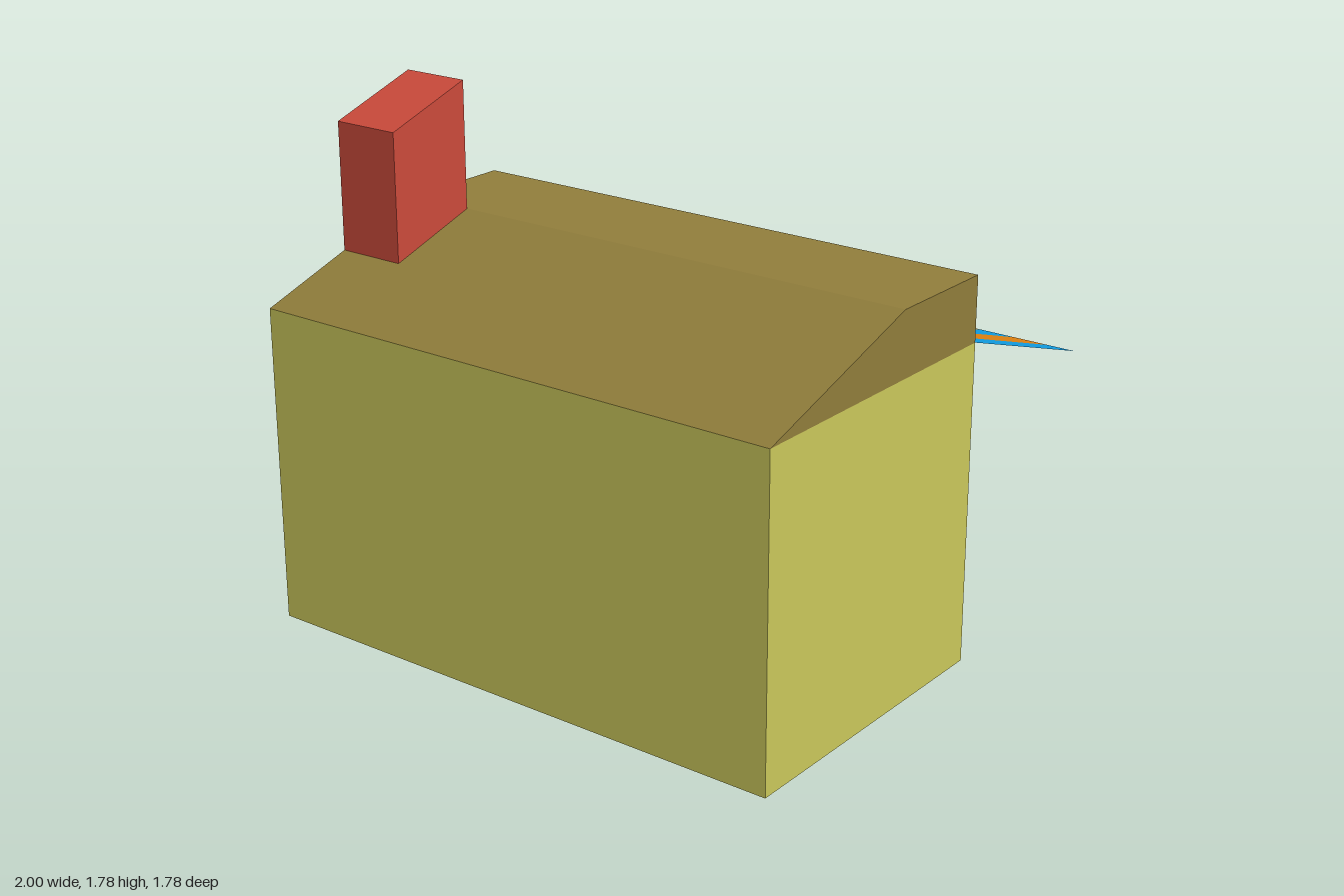
import * as THREE from 'three';

const mat = (name, color) => {
  const m = new THREE.MeshStandardMaterial({ color, side: THREE.DoubleSide });
  m.name = name;
  return m;
};

// Key lines of the building
const FRONT = 0.89, BACK = -0.22, RIDGE = 0.2;
const EAVE = 1.11, TOP = 1.333, CHIMNEY_RISE = 0.445;

export function createModel() {
  const wall = mat('yellow plaster', 0xcac75b);
  const roofing = mat('brown roof', 0x907d3b);
  const brick = mat('red brick', 0xcb4a3b);
  const orange = mat('orange cloth', 0xda7e10);
  const blue = mat('blue cloth', 0x1099dd);
  brick.side = THREE.FrontSide;

  const model = new THREE.Group();
  model.name = 'shop';
  const group = (name) => {
    const g = new THREE.Group();
    g.name = name;
    model.add(g);
    return g;
  };
  const add = (parent, name, geometry, material) => {
    const mesh = new THREE.Mesh(geometry, material);
    mesh.name = name;
    parent.add(mesh);
    return mesh;
  };
  const shape = (pts) => new THREE.Shape(pts.map(([x, y]) => new THREE.Vector2(x, y)));

  // Flat strip running along x between two points given as [z, y]
  const strip = (parent, name, [z0, y0], [z1, y1], material, xa = -1, xb = 1) => {
    const g = new THREE.BufferGeometry();
    g.setAttribute('position', new THREE.Float32BufferAttribute(
      [xa, y0, z0, xb, y0, z0, xb, y1, z1, xa, y1, z1], 3));
    g.setIndex([0, 1, 2, 0, 2, 3]);
    g.computeVertexNormals();
    return add(parent, name, g, material);
  };
  // Flat panel facing sideways, outlined in [z, y]
  const sidePanel = (parent, name, pts, x, material) => {
    const g = new THREE.ShapeGeometry(shape(pts)).rotateY(-Math.PI / 2).translate(x, 0, 0);
    return add(parent, name, g, material);
  };

  // Hollow body
  const body = group('body');
  strip(body, 'frontWall', [FRONT, 0], [FRONT, EAVE], wall);
  strip(body, 'floor', [BACK, 0], [FRONT, 0], wall);
  for (const x of [-1, 1]) {
    sidePanel(body, 'sideWall', [[BACK, 0], [FRONT, 0], [FRONT, EAVE], [BACK, EAVE]], x, wall);
  }

  // Shop wall with a doorway and four tall windows
  const shop = shape([[-1, 0], [0.37, 0], [0.37, 0.69], [0.75, 0.69], [0.75, 0],
    [1, 0], [1, EAVE], [-1, EAVE]]);
  for (let i = 0; i < 4; i++) {
    const x = 0.057 - i * 0.315, w = 0.195;
    shop.holes.push(new THREE.Path([[x, 0.135], [x, 0.97], [x + w, 0.97], [x + w, 0.135]]
      .map(([a, b]) => new THREE.Vector2(a, b))));
  }
  add(body, 'shopWall', new THREE.ShapeGeometry(shop).translate(0, 0, BACK), wall);

  // Inner ceiling below the slope, and the upright behind the ridge
  strip(body, 'ceiling', [RIDGE, EAVE], [FRONT, EAVE], wall);
  strip(body, 'ridgeWall', [RIDGE, EAVE], [RIDGE, TOP], wall);

  // Roof: front slope, flat top, back parapet and gables
  const roof = group('roof');
  const profile = [[FRONT, EAVE], [RIDGE, TOP], [BACK, TOP], [BACK, EAVE]];
  ['roofSlope', 'roofTop', 'parapet'].forEach((name, i) =>
    strip(roof, name, profile[i], profile[i + 1], roofing));
  for (const x of [-1, 1]) sidePanel(roof, 'gable', profile, x, roofing);

  // Chimney with its top parallel to the slope
  const low = 1.222, zc = 0.54;
  const stack = new THREE.ExtrudeGeometry(
    shape([[RIDGE, TOP], [zc, low], [zc, low + CHIMNEY_RISE], [RIDGE, TOP + CHIMNEY_RISE]]),
    { depth: 0.25, bevelEnabled: false });
  stack.rotateY(-Math.PI / 2).translate(-0.75, 0, 0);
  add(model, 'chimney', stack, brick);

  // Striped awning; the two end stripes are narrower
  const awning = group('awning');
  for (let i = 0; i < 16; i++) {
    const edge = (k) => THREE.MathUtils.clamp(-0.893 + (k - 1) * 0.1279, -1, 1);
    const xb = i === 15 ? 1 : edge(i + 1);
    strip(awning, 'awningStripe', [BACK, EAVE], [-0.89, 0.89], i % 2 ? blue : orange, edge(i), xb);
  }
  return model;
}
